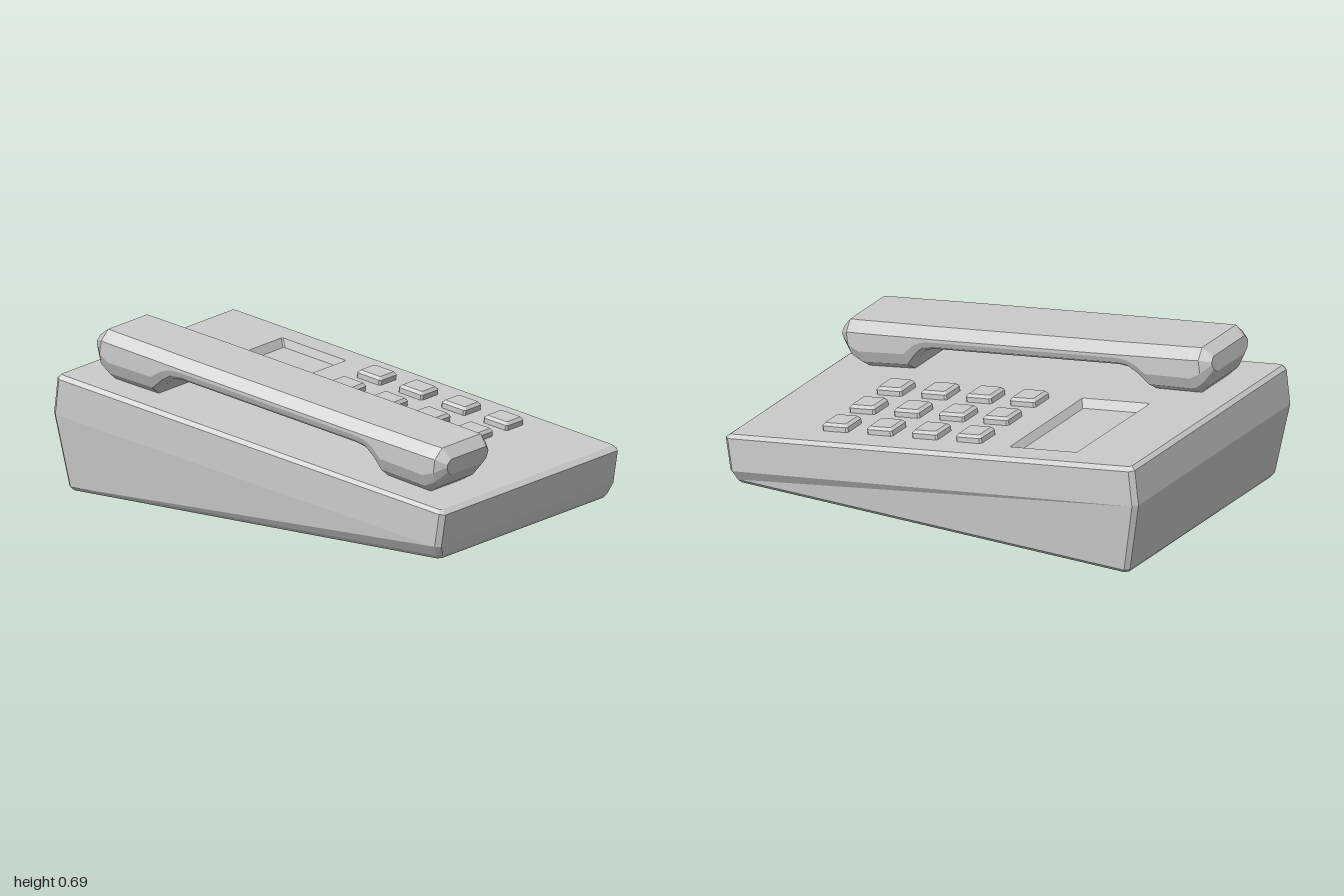
import * as THREE from 'three';

const grey = new THREE.MeshStandardMaterial({ color: 0xcccccc, flatShading: true });

function mesh(name, geometry) {
  const m = new THREE.Mesh(geometry, grey);
  m.name = name;
  return m;
}

// Skins a list of rings; rings run counter-clockwise seen from the end of travel
function loft(rings, capStart, capEnd) {
  const pos = [];
  const tri = (a, b, c) => pos.push(...a, ...b, ...c);
  const n = rings[0].length;
  for (let i = 0; i < rings.length - 1; i++) {
    const p = rings[i], q = rings[i + 1];
    for (let j = 0; j < n; j++) {
      const k = (j + 1) % n;
      tri(p[j], p[k], q[k]);
      tri(p[j], q[k], q[j]);
    }
  }
  const first = rings[0], last = rings[rings.length - 1];
  for (let j = 1; j < n - 1; j++) {
    if (capStart) tri(first[0], first[j + 1], first[j]);
    if (capEnd) tri(last[0], last[j], last[j + 1]);
  }
  const g = new THREE.BufferGeometry();
  g.setAttribute('position', new THREE.Float32BufferAttribute(pos, 3));
  g.computeVertexNormals();
  return g;
}

// Rectangle in plan with cut corners; y is a function of z
function planRing(x0, x1, zb, zf, c, y) {
  return [
    [x1, zf - c], [x1, zb + c], [x1 - c, zb], [x0 + c, zb],
    [x0, zb + c], [x0, zf - c], [x0 + c, zf], [x1 - c, zf],
  ].map(([x, z]) => [x, y(z), z]);
}

// Height of the sloping top
const SLOPE = 0.1433;
const deckY = (z) => 0.222 + (0.975 - z) * SLOPE;

function makeBody() {
  const body = new THREE.Group();
  body.name = 'body';

  // Wedge shell: half width, front z and y, back z and y, corner cut
  const rings = [
    [0.595, 0.95, 0, -0.93, 0, 0.015],
    [0.61, 0.963, 0.016, -0.942, 0.016, 0.018],
    [0.64, 0.975, 0.06, -1.0, 0.33, 0.02],
    [0.64, 0.998, 0.203, -0.982, 0.484, 0.02],
    [0.625, 0.975, 0.222, -0.965, 0.5, 0.01],
  ].map(([hx, zf, yf, zb, yb, c]) =>
    planRing(-hx, hx, zb, zf, c, (z) => yf + ((zf - z) / (zf - zb)) * (yb - yf)));
  body.add(mesh('shell', loft(rings, true, false)));

  // Sloping top with the display opening
  const outer = rings[rings.length - 1];
  const rim = planRing(-0.08, 0.515, -0.64, -0.315, 0.006, deckY);
  const toPlan = (ring) => ring.map(([x, , z]) => new THREE.Vector2(x, -z));
  const shape = new THREE.Shape(toPlan(outer));
  shape.holes.push(new THREE.Path(toPlan(rim)));
  const top = new THREE.ShapeGeometry(shape);
  const p = top.attributes.position;
  for (let i = 0; i < p.count; i++) {
    const z = -p.getY(i);
    p.setXYZ(i, p.getX(i), deckY(z), z);
  }
  top.computeVertexNormals();
  body.add(mesh('topPanel', top));

  // Sunken display: walls and floor
  const floor = planRing(-0.052, 0.505, -0.625, -0.335, 0.006, (z) => deckY(z) - 0.035);
  body.add(mesh('displayRecess', loft([rim, floor], false, false)));
  body.add(mesh('displayScreen', loft([floor, floor], false, true)));
  return body;
}

function makeKeypad() {
  const keypad = new THREE.Group();
  keypad.name = 'keypad';
  const ring = (h, y, c) => planRing(-h, h, -h, h, c, () => y);
  const key = loft([
    ring(0.062, -0.01, 0.008), ring(0.062, 0.022, 0.008), ring(0.05, 0.034, 0.005),
  ], true, true);
  for (const z of [-0.112, 0.103, 0.323, 0.541]) {
    for (const x of [0.006, 0.227, 0.447]) {
      const k = mesh('key', key);
      k.position.set(x, 0, z);
      keypad.add(k);
    }
  }
  return keypad;
}

function makeHandset() {
  // Cross-section with bevelled top and rounded-off underside
  const section = ([z, w, top, bottom, tb, lb]) => {
    const right = [
      [w - lb * 0.85, bottom], [w - lb * 0.25, bottom + lb * 0.4],
      [w, bottom + lb], [w, top - tb], [w - tb, top],
    ];
    const left = right.map(([x, y]) => [-x, y]).reverse();
    return [...right, ...left].map(([x, y]) => [x, y, z]);
  };
  // From the middle of the grip out to one end: z, half width, top, bottom, bevels
  const half = [
    [0.45, 0.19, 0.212, 0.115, 0.043, 0.04],
    [0.5, 0.189, 0.212, 0.105, 0.043, 0.045],
    [0.545, 0.188, 0.212, 0.06, 0.043, 0.07],
    [0.59, 0.187, 0.212, 0.002, 0.043, 0.09],
    [0.81, 0.185, 0.212, -0.003, 0.043, 0.09],
    [0.86, 0.182, 0.212, 0.035, 0.043, 0.075],
    [0.903, 0.147, 0.172, 0.1, 0.02, 0.04],
  ];
  const back = half.map(([z, ...rest]) => [-z, ...rest]).reverse();
  const handset = mesh('handset', loft([...back, ...half].map(section), true, true));
  handset.position.set(-0.36, 0, 0.012);
  return handset;
}

export function createModel() {
  const model = new THREE.Group();
  model.name = 'deskTelephone';
  model.add(makeBody());

  // Parts lying on the sloping top
  const deck = new THREE.Group();
  deck.name = 'deckParts';
  deck.position.y = deckY(0);
  deck.rotation.x = Math.atan(SLOPE);
  deck.add(makeKeypad(), makeHandset());
  model.add(deck);
  return model;
}
